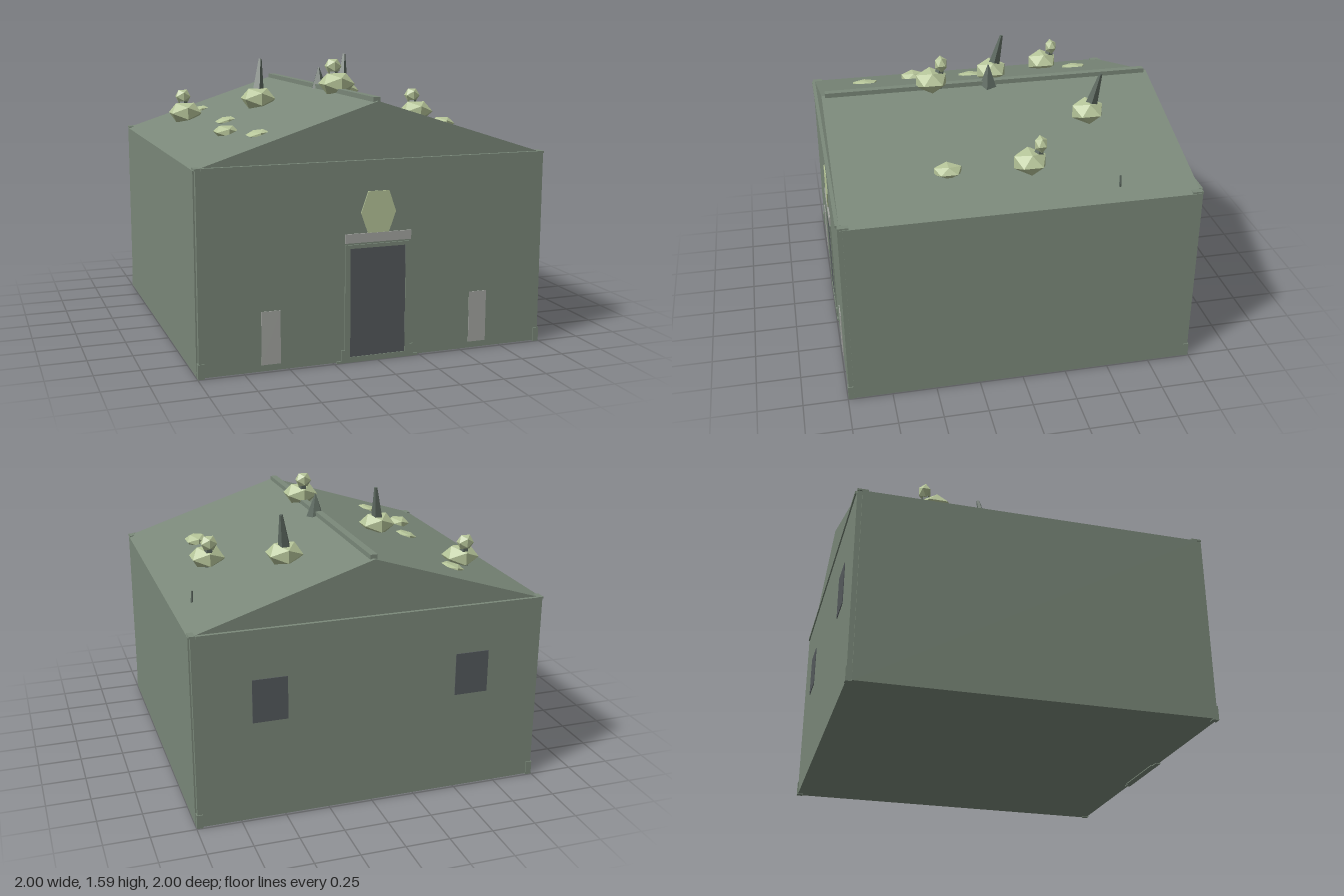
import * as THREE from 'three';

const mat = (name, color, extra = {}) => {
  const m = new THREE.MeshStandardMaterial({ color, flatShading: true, ...extra });
  m.name = name;
  return m;
};

export function createModel() {
  const model = new THREE.Group();
  model.name = 'overgrownHouse';
  const stone = mat('mossy stone', 0x7b897a);
  const leaf = mat('leaf green', 0xb7c69a);
  const slate = mat('dark slate', 0x555a5d);
  const pale = mat('pale stone', 0xa6a8a3);
  const thorn = mat('thorn grey', 0x5f6b62);

  const add = (name, geo, material, x = 0, y = 0, z = 0) => {
    const m = new THREE.Mesh(geo, material);
    m.name = name;
    m.position.set(x, y, z);
    model.add(m);
    return m;
  };
  // Box given by its min and max corners
  const box = (name, material, x0, x1, y0, y1, z0, z1) =>
    add(name, new THREE.BoxGeometry(x1 - x0, y1 - y0, z1 - z0), material,
      (x0 + x1) / 2, (y0 + y1) / 2, (z0 + z1) / 2);
  // Tapered five-sided spike between two points
  const spike = (name, from, to, r0, r1, sides = 5) => {
    const a = new THREE.Vector3(...from), b = new THREE.Vector3(...to);
    const d = b.clone().sub(a);
    const m = add(name, new THREE.CylinderGeometry(r1, r0, d.length(), sides), thorn);
    m.position.copy(a).add(b).multiplyScalar(0.5);
    m.quaternion.setFromUnitVectors(new THREE.Vector3(0, 1, 0), d.normalize());
    return m;
  };
  const ball = (name, x, y, z, hx, hy, hz) => {
    const k = 0.8507; // reach of a unit icosahedron along each axis
    const m = add(name, new THREE.IcosahedronGeometry(1, 0), leaf, x, y, z);
    m.scale.set(hx / k, hy / k, hz / k);
    return m;
  };

  // Walls, with notched corners
  box('sideWalls', stone, -1, 1, 0.005, 1.09, -0.965, 0.965);
  box('endWalls', stone, -0.965, 0.965, 0.005, 1.095, -0.992, 0.992);
  for (const x of [-1, 1]) for (const z of [-1, 1]) {
    add('cornerPost', new THREE.BoxGeometry(0.03, 1.09, 0.03), stone, x * 0.977, 0.545, z * 0.977);
    add('cornerBase', new THREE.BoxGeometry(0.035, 0.08, 0.035), stone, x * 0.98, 0.04, z * 0.98);
    add('eaveEnd', new THREE.BoxGeometry(0.035, 0.012, 0.06), stone, x * 0.98, 1.095, z * 0.962);
  }

  // Gabled roof, end beams and ridge
  const gable = new THREE.Shape();
  gable.moveTo(-1, 1.09).lineTo(1, 1.09).lineTo(0, 1.41).closePath();
  add('roof', new THREE.ExtrudeGeometry(gable, { depth: 1.96, bevelEnabled: false }), stone, 0, 0, -0.98);
  for (const s of [-1, 1])
    add('endBeam', new THREE.BoxGeometry(1.93, 0.015, 0.03), stone, 0, 1.095, s * 0.985);
  box('ridgeBeam', stone, -0.02, 0.02, 1.38, 1.43, -0.96, 0.96);

  // Doorway
  for (const s of [-1, 1]) {
    add('doorJamb', new THREE.BoxGeometry(0.03, 0.65, 0.04), stone, s * 0.175, 0.325, 0.98);
    add('jambFoot', new THREE.BoxGeometry(0.05, 0.07, 0.03), stone, s * 0.185, 0.035, 0.985);
    add('doorStep', new THREE.BoxGeometry(0.05, 0.012, 0.03), stone, s * 0.21, 0.006, 0.985);
    spike('jambThorn', [s * 0.178, 0.62, 0.985], [s * 0.165, 0.25, 0.992], 0.012, 0.004);
  }
  box('doorHead', stone, -0.19, 0.19, 0.63, 0.65, 0.96, 1);
  box('threshold', stone, -0.16, 0.16, 0, 0.03, 0.96, 1);
  box('door', slate, -0.16, 0.16, 0.03, 0.63, 0.989, 0.996);
  box('lintel', pale, -0.19, 0.19, 0.66, 0.71, 0.985, 1);

  // Leaf crest above the door
  const crest = new THREE.Shape();
  crest.moveTo(-0.06, 0.71).lineTo(0.06, 0.71).lineTo(0.1, 0.82).lineTo(0.06, 0.935)
    .lineTo(-0.06, 0.935).lineTo(-0.1, 0.82).closePath();
  add('doorCrest', new THREE.ExtrudeGeometry(crest, { depth: 0.008, bevelEnabled: false }), leaf, 0, 0, 0.99);

  // Pale front slabs and dark rear windows
  for (const s of [-1, 1]) {
    add('frontSlab', new THREE.BoxGeometry(0.105, 0.29, 0.008), pale, s * 0.603, 0.185, 0.992);
    add('rearWindow', new THREE.BoxGeometry(0.195, 0.245, 0.008), slate, s * 0.58, 0.7, -0.992);
  }

  // Large bushes topped by a thorn or a budded stalk
  const roofY = (x) => 1.41 - 0.32 * Math.abs(x);
  const bushes = [[-0.71, -0.51, 0], [0.7, -0.09, 0], [0, 0.34, 0], [0.355, -0.51, 1], [-0.35, -0.09, 1]];
  for (const [x, z, thorny] of bushes) {
    const y = roofY(x) + 0.045;
    ball('bush', x, y, z, 0.094, 0.06, 0.088);
    if (thorny) {
      spike('thorn', [x, y, z - 0.012], [x + 0.033, y + 0.235, z - 0.06], 0.042, 0.01);
    } else {
      spike('stalk', [x, y - 0.04, z - 0.03], [x, y + 0.09, z - 0.06], 0.04, 0.02);
      ball('bud', x, y + 0.097, z - 0.06, 0.045, 0.042, 0.034);
    }
  }

  // Small bushes and flat leaf patches
  for (const s of [-1, 1]) ball('smallBush', s * 0.668, roofY(0.668) + 0.008, 0.36, 0.064, 0.034, 0.075);
  for (const z of [-0.69, 0, 0.68])
    ball('leafPatch', -0.577, roofY(0.577) + 0.002, z, 0.056, 0.016, 0.074).rotation.z = 0.2;

  // Ridge thorn and eave twig
  spike('ridgeThorn', [0.01, 1.39, 0], [0.01, 1.53, 0], 0.055, 0.003);
  spike('eaveTwig', [0.89, 1.11, -0.55], [0.885, 1.19, -0.55], 0.007, 0.005);

  return model;
}
